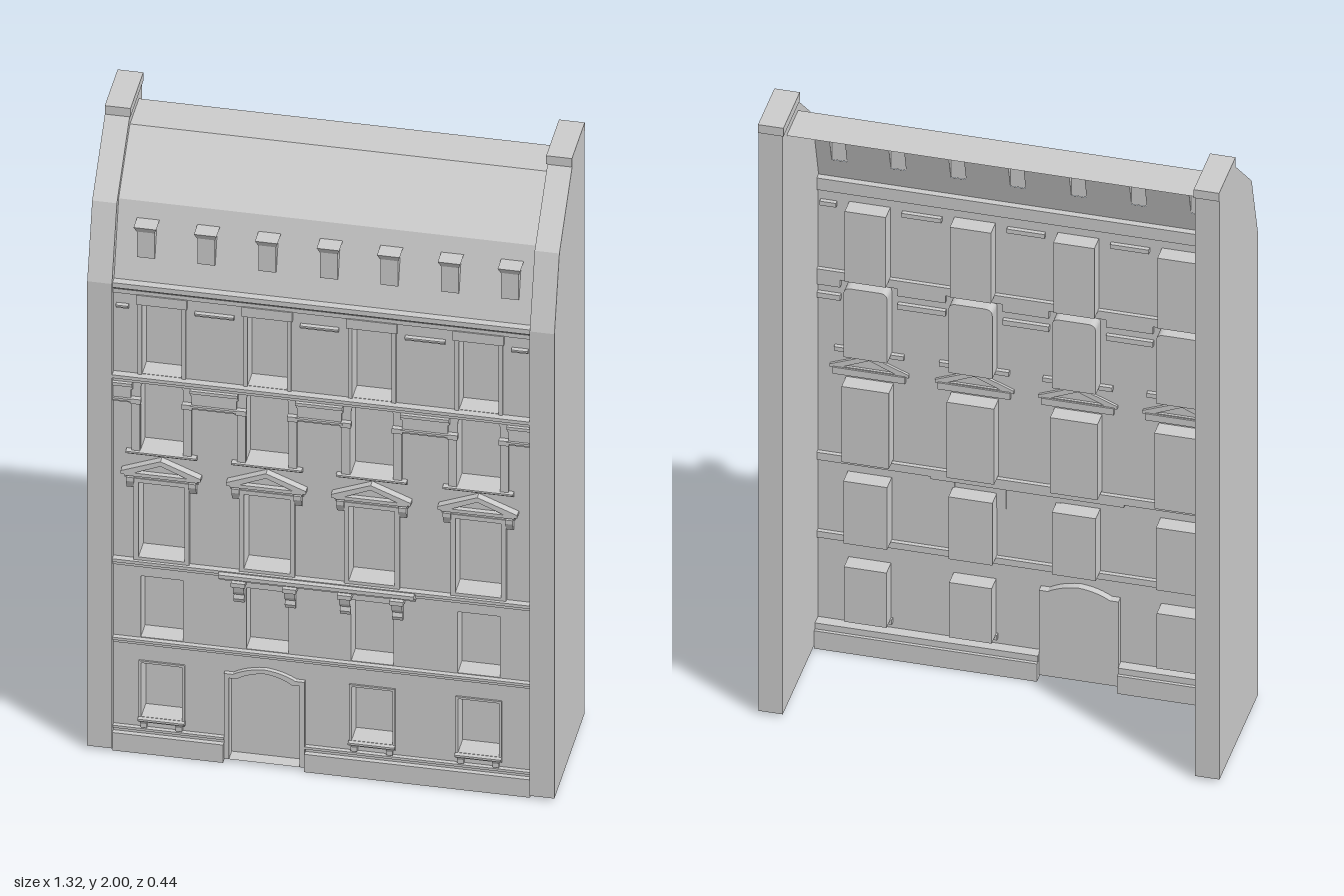
import * as THREE from 'three';

const FACE = 0.185;   // front plane of the facade
const BACK = 0.125;   // back of the window recesses
const COLS = [-0.455, -0.156, 0.141, 0.443];
const INNER = 0.592, OUTER = 0.662;

const mat = new THREE.MeshStandardMaterial({ color: 0xcccccc, flatShading: true, side: THREE.DoubleSide });

export function createModel() {
  const root = new THREE.Group();

  const add = (name, geo, parent = root) => {
    const m = new THREE.Mesh(geo, mat);
    m.name = name;
    parent.add(m);
    return m;
  };
  // Box given by its limits
  const box = (name, x0, x1, y0, y1, z0, z1, parent) => {
    const g = new THREE.BoxGeometry(x1 - x0, y1 - y0, z1 - z0);
    g.translate((x0 + x1) / 2, (y0 + y1) / 2, (z0 + z1) / 2);
    return add(name, g, parent);
  };
  const poly = (pts) => new THREE.Shape(pts.map((p) => new THREE.Vector2(p[0], p[1])));
  const rect = (x0, x1, y0, y1) => poly([[x0, y0], [x1, y0], [x1, y1], [x0, y1]]);
  // Front outline pushed from z0 to z1
  const slab = (name, shape, z0, z1, parent) => {
    const g = new THREE.ExtrudeGeometry(shape, { depth: z1 - z0, bevelEnabled: false, curveSegments: 6 });
    g.translate(0, 0, z0);
    return add(name, g, parent);
  };
  // Side outline in (z, y) pushed along x
  const sideSlab = (name, pts, x0, x1, parent) => {
    const g = new THREE.ExtrudeGeometry(poly(pts.map(([z, y]) => [-z, y])), { depth: x1 - x0, bevelEnabled: false });
    g.rotateY(Math.PI / 2);
    g.translate(x0, 0, 0);
    return add(name, g, parent);
  };
  // Horizontal moulding with a stepped section
  const ledge = (name, x0, x1, y0, y1, z1, z0 = 0.16, parent = root) => {
    const h = y1 - y0, p = z1 - FACE;
    sideSlab(name, [[z0, y0], [FACE + p * 0.4, y0], [FACE + p * 0.4, y0 + h * 0.35], [FACE + p * 0.75, y0 + h * 0.55],
      [z1, y0 + h * 0.6], [z1, y1], [z0, y1]], x0, x1, parent);
  };

  // Party walls with sloped fronts and raised chimney ends
  const wall = [[0.21, 0.01], [0.21, 1.575], [0.14, 1.8], [-0.04, 1.97], [-0.04, 2], [-0.215, 2], [-0.215, 0.01]];
  sideSlab('leftPartyWall', wall, INNER, OUTER);
  sideSlab('rightPartyWall', wall, -OUTER, -INNER);
  for (const s of [-1, 1]) box('chimneyCap', s > 0 ? INNER - 0.003 : -OUTER, s > 0 ? OUTER : -INNER + 0.003, 1.972, 2, -0.219, -0.038);

  // Window outlines by storey; the third storey has rounded upper corners
  const arched = (x, w, y0, y1, r) => {
    const s = new THREE.Shape();
    s.moveTo(x - w, y0); s.lineTo(x + w, y0); s.lineTo(x + w, y1 - r);
    s.quadraticCurveTo(x + w, y1, x + w - r, y1);
    s.lineTo(x - w + r, y1);
    s.quadraticCurveTo(x - w, y1, x - w, y1 - r);
    s.closePath();
    return s;
  };
  const doorShape = (o) => {
    const x = -0.163, w = 0.1 + o, t = 0.283 + o, a = 0.31 + o;
    const s = new THREE.Shape();
    s.moveTo(x - w, 0.01); s.lineTo(x + w, 0.01); s.lineTo(x + w, t);
    s.lineTo(x + w * 0.78, t);
    s.quadraticCurveTo(x + w * 0.45, a - 0.004, x, a);
    s.quadraticCurveTo(x - w * 0.45, a - 0.004, x - w * 0.78, t);
    s.lineTo(x - w, t); s.closePath();
    return s;
  };
  const storeys = [
    { y0: 0.115, y1: 0.295, w: 0.058, r: 0 },
    { y0: 0.38, y1: 0.585, w: 0.06, r: 0 },
    { y0: 0.655, y1: 0.905, w: 0.065, r: 0 },
    { y0: 1.012, y1: 1.24, w: 0.06, r: 0.022 },
    { y0: 1.268, y1: 1.5, w: 0.056, r: 0 },
  ];
  const outline = (st, x, o = 0) => st.r
    ? arched(x, st.w + o, st.y0 - o, st.y1 + o, st.r)
    : rect(x - st.w - o, x + st.w + o, st.y0 - o, st.y1 + o);
  const openings = [];
  storeys.forEach((st, i) => COLS.forEach((x, c) => { if (i || c !== 1) openings.push([st, x]); }));

  // Thin facade with openings
  const facade = rect(-INNER, INNER, 0.01, 1.575);
  facade.holes = openings.map(([st, x]) => outline(st, x));
  facade.holes.push(doorShape(0));
  slab('facade', facade, FACE - 0.012, FACE);

  // Deep window recesses closed at the back
  for (const [st, x] of openings) {
    const g = new THREE.Group();
    g.name = 'windowRecess';
    root.add(g);
    const ring = outline(st, x, 0.003);
    ring.holes = [outline(st, x)];
    slab('reveal', ring, BACK, FACE, g);
    slab('windowPane', outline(st, x, 0.003), BACK - 0.003, BACK, g);
  }

  // Arched door with its surround
  const surround = doorShape(0.014);
  surround.holes = [doorShape(0)];
  slab('doorSurround', surround, 0.15, 0.198);
  slab('door', doorShape(0), 0.15, 0.158);

  // Plinth on either side of the door
  for (const [a, b] of [[-INNER, -0.278], [-0.048, INNER]]) {
    box('plinth', a, b, 0, 0.06, 0.13, 0.205);
    ledge('plinthMoulding', a, b, 0.06, 0.08, 0.198, 0.14);
  }

  // Storey mouldings across the facade
  ledge('groundFloorBand', -INNER, INNER, 0.357, 0.378, 0.2);
  ledge('balconyBand', -INNER, INNER, 0.62, 0.645, 0.204);
  ledge('upperBand', -INNER, INNER, 1.24, 1.267, 0.207);
  ledge('mainCornice', -INNER, INNER, 1.535, 1.575, 0.203);

  // Balcony shelf on scrolled corbels
  ledge('balcony', -0.29, 0.265, 0.612, 0.642, 0.22);
  for (const x of [-0.235, -0.09, 0.066, 0.214]) {
    sideSlab('corbel', [[0.17, 0.54], [0.193, 0.54], [0.197, 0.552], [0.193, 0.565], [0.204, 0.58], [0.209, 0.6], [0.209, 0.614], [0.17, 0.614]],
      x - 0.015, x + 0.015);
    box('corbelCap', x - 0.02, x + 0.02, 0.6, 0.614, 0.18, 0.212);
  }

  COLS.forEach((x, c) => {
    // Ground floor sill on two feet
    if (c !== 1) {
      ledge('sill', x - 0.066, x + 0.066, 0.098, 0.114, 0.204);
      for (const s of [-1, 1]) box('sillFoot', x + s * 0.05 - 0.009, x + s * 0.05 + 0.009, 0.083, 0.098, 0.18, 0.197);
      const f = outline(storeys[0], x, 0.007);
      f.holes = [outline(storeys[0], x)];
      slab('windowFrame', f, FACE, 0.19);
    }

    // Main floor frame, brackets and pediment
    const st = storeys[2];
    const frame = outline(st, x, 0.014);
    frame.holes = [outline(st, x)];
    slab('mainWindowFrame', frame, FACE, 0.195);
    for (const s of [-1, 1]) {
      const bx = x + s * 0.088;
      sideSlab('pedimentBracket', [[0.18, 0.885], [0.19, 0.885], [0.203, 0.912], [0.203, 0.925], [0.18, 0.925]], bx - 0.011, bx + 0.011);
    }
    ledge('pedimentBase', x - 0.104, x + 0.104, 0.92, 0.942, 0.207);
    const gable = poly([[x - 0.113, 0.938], [x + 0.113, 0.938], [x + 0.113, 0.948], [x, 0.993], [x - 0.113, 0.948]]);
    gable.holes = [poly([[x - 0.075, 0.945], [x + 0.075, 0.945], [x, 0.977]])];
    slab('pediment', gable, 0.165, 0.208);
    slab('pedimentPanel', poly([[x - 0.076, 0.944], [x + 0.076, 0.944], [x, 0.978]]), 0.18, 0.193);

    // Third storey sill and jambs
    ledge('upperSill', x - 0.1, x + 0.1, 0.998, 1.012, 0.203);
    for (const s of [-1, 1]) {
      const jx = x + s * 0.073;
      box('jamb', jx - 0.012, jx + 0.012, 1.012, 1.175, FACE, 0.194);
      box('jambCapital', jx - 0.015, jx + 0.015, 1.172, 1.188, FACE, 0.2);
    }

    // Top storey head block and side strips
    box('headBlock', x - 0.072, x + 0.072, 1.505, 1.537, 0.175, 0.196);
    for (const s of [-1, 1]) {
      const jx = x + s * 0.062;
      box('topJamb', jx - 0.006, jx + 0.006, 1.267, 1.505, FACE, 0.19);
    }
  });

  // Entablature pieces and top mouldings between the windows
  const edges = [-INNER, ...COLS.flatMap((x) => [x - 0.086, x + 0.086]), INNER];
  for (let i = 0; i < edges.length; i += 2) {
    const a = edges[i], b = edges[i + 1];
    box('entablature', a, b, 1.18, 1.24, 0.175, 0.195);
    ledge('entablatureMoulding', Math.max(a - 0.004, -INNER), Math.min(b + 0.004, INNER), 1.17, 1.187, 0.202);
    ledge('entablatureCrown', Math.max(a - 0.004, -INNER), Math.min(b + 0.004, INNER), 1.215, 1.24, 0.204);
    ledge('topMoulding', Math.max(a + 0.008, -INNER), Math.min(b - 0.008, INNER), 1.484, 1.498, 0.199);
  }

  // Lower roof slope with dormer openings, leaned back by height
  const dormers = [-0.505, -0.334, -0.161, 0.014, 0.185, 0.357, 0.527];
  const slopeZ = (y) => 0.18 - (0.065 * (y - 1.575)) / 0.225;
  const lower = rect(-INNER, INNER, 1.575, 1.8);
  lower.holes = dormers.map((x) => rect(x - 0.025, x + 0.025, 1.645, 1.738));
  const lowerGeo = new THREE.ShapeGeometry(lower);
  const p = lowerGeo.attributes.position;
  for (let i = 0; i < p.count; i++) p.setZ(i, slopeZ(p.getY(i)));
  lowerGeo.computeVertexNormals();
  add('lowerRoof', lowerGeo);

  // Upper slope and flat top
  const strip = (name, [z0, y0], [z1, y1]) => {
    const g = new THREE.PlaneGeometry(2 * INNER, Math.hypot(z1 - z0, y1 - y0));
    g.rotateX(-Math.atan2(z0 - z1, y1 - y0));
    g.translate(0, (y0 + y1) / 2, (z0 + z1) / 2);
    add(name, g);
  };
  strip('upperRoof', [0.115, 1.8], [-0.045, 1.943]);
  strip('flatRoof', [-0.045, 1.943], [-0.172, 1.943]);

  // Dormers with flared caps
  for (const x of dormers) {
    const g = new THREE.Group();
    g.name = 'dormer';
    root.add(g);
    const cheek = [[slopeZ(1.645), 1.645], [0.166, 1.645], [0.166, 1.738], [slopeZ(1.738), 1.738]];
    for (const s of [-1, 1]) sideSlab('dormerCheek', cheek, x + s * 0.0235 - 0.0015, x + s * 0.0235 + 0.0015, g);
    box('dormerFront', x - 0.025, x + 0.025, 1.645, 1.738, 0.161, 0.166, g);
    const cap = new THREE.BoxGeometry(0.064, 0.02, 0.054);
    const q = cap.attributes.position;
    for (let i = 0; i < q.count; i++) if (q.getY(i) < 0) { q.setX(i, q.getX(i) * 0.8); q.setZ(i, q.getZ(i) > 0 ? 0.016 : -0.026); }
    cap.computeVertexNormals();
    cap.translate(x, 1.742, 0.152);
    add('dormerCap', cap, g);
  }
  return root;
}
